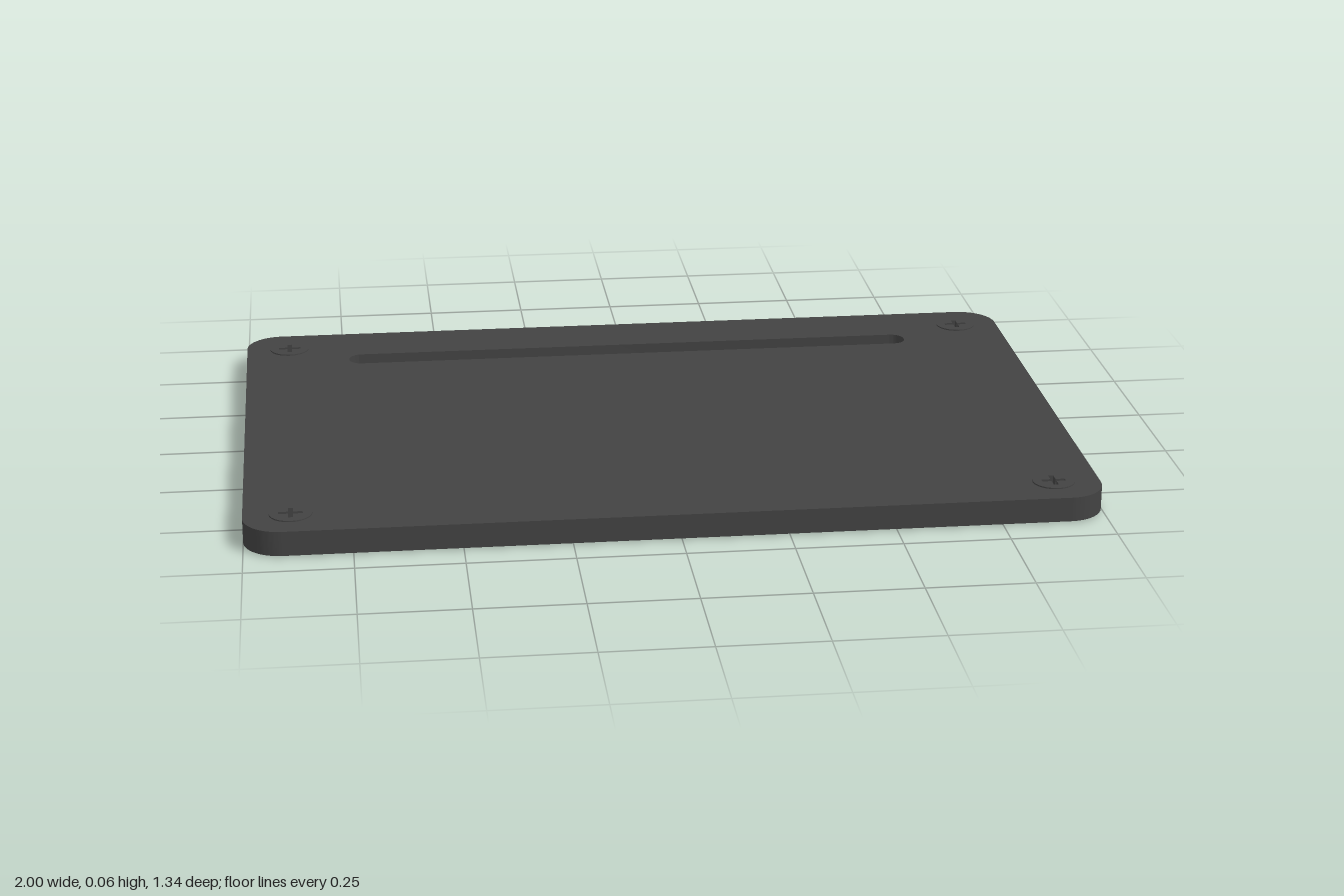
import * as THREE from 'three';
import { toCreasedNormals } from 'three/addons/utils/BufferGeometryUtils.js';

// Rounded rectangle outline centred on (cx, cy)
function roundedRect(path, cx, cy, hw, hh, r) {
  path.absarc(cx + hw - r, cy + hh - r, r, 0, Math.PI / 2);
  path.absarc(cx - hw + r, cy + hh - r, r, Math.PI / 2, Math.PI);
  path.absarc(cx - hw + r, cy - hh + r, r, Math.PI, Math.PI * 1.5);
  path.absarc(cx + hw - r, cy - hh + r, r, Math.PI * 1.5, Math.PI * 2);
  path.closePath();
  return path;
}

// Lay an extruded outline flat, with its underside at height y
function slab(shape, y, depth) {
  const geometry = new THREE.ExtrudeGeometry(shape, { depth, bevelEnabled: false, curveSegments: 12 });
  geometry.rotateX(-Math.PI / 2);
  geometry.translate(0, y, 0);
  return toCreasedNormals(geometry, 0.6);
}

export function createModel() {
  const model = new THREE.Group();
  model.name = 'coverPlate';
  const charcoal = new THREE.MeshStandardMaterial({ color: 0x434343 });
  charcoal.name = 'charcoal';

  const screwX = 0.89, screwZ = 0.565, screwR = 0.05;
  const corners = [[1, 1], [-1, 1], [-1, -1], [1, -1]];

  // Plate with the long slot near the back edge and four screw holes
  const outline = roundedRect(new THREE.Shape(), 0, 0, 1, 0.67, 0.09);
  outline.holes.push(roundedRect(new THREE.Path(), -0.002, 0.47, 0.733, 0.035, 0.032));
  for (const [sx, sz] of corners) {
    outline.holes.push(new THREE.Path().absarc(sx * screwX, sz * screwZ, screwR, 0, Math.PI * 2));
  }
  const plate = new THREE.Mesh(slab(outline, 0.003, 0.059), charcoal);
  plate.name = 'plate';
  model.add(plate);

  // Slightly proud screws with a cross cut right through
  const a = 0.028, b = 0.006;
  const disc = new THREE.Shape().absarc(0, 0, screwR, 0, Math.PI * 2);
  const cross = [[a, -b], [a, b], [b, b], [b, a], [-b, a], [-b, b],
    [-a, b], [-a, -b], [-b, -b], [-b, -a], [b, -a], [b, -b]];
  disc.holes.push(new THREE.Path(cross.map(([x, y]) => new THREE.Vector2(x, y))));
  const screwGeometry = slab(disc, 0, 0.065);
  for (const [sx, sz] of corners) {
    const screw = new THREE.Mesh(screwGeometry, charcoal);
    screw.name = (sz > 0 ? 'front' : 'back') + (sx > 0 ? 'Left' : 'Right') + 'Screw';
    screw.position.set(sx * screwX, 0, sz * screwZ);
    model.add(screw);
  }
  return model;
}
